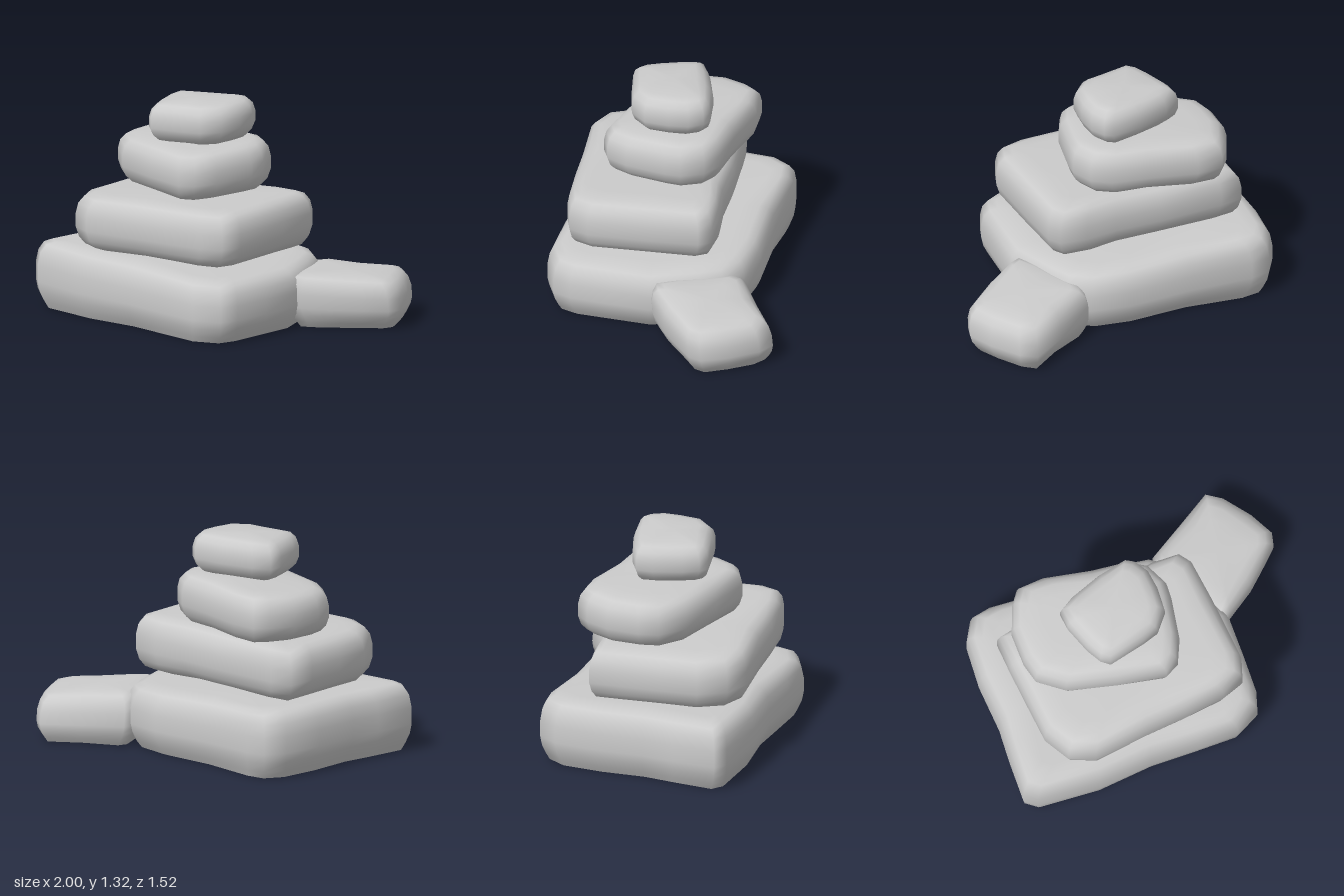
import * as THREE from 'three';

const material = new THREE.MeshStandardMaterial({ color: 0xcccccc, side: THREE.DoubleSide });

// Rounded stone section: [inset from the widest outline, height fraction]
const FLANK = [[0, 0.38], [0, 0.62], [0.015, 0.8], [0.05, 0.92], [0.1, 0.965], [0.19, 0.985]];
const CLOSED = [[0.18, 0.01], [0.11, 0.025], [0.055, 0.08], [0.02, 0.2], ...FLANK];
const OPEN = [[0.065, 0], [0.04, 0.1], [0.012, 0.24], ...FLANK];

// Lofts a stone from a plan outline of [x, z] points.
// bottom and top are sloped planes: [height at the middle, slope along x, slope along z]
// lean shifts the stone along z with height
function stone(name, outline, bottom, top, { open = false, lean = 0 } = {}) {
  const plan = outline.map(([x, z]) => new THREE.Vector3(x, 0, z));
  const mid = new THREE.Box3().setFromPoints(plan).getCenter(new THREE.Vector3());
  const level = (p, x, z) => p[0] + p[1] * (x - mid.x) + p[2] * (z - mid.z);

  const positions = [], index = [];
  const add = (x, z, t) => {
    const low = level(bottom, x, z);
    positions.push(x, low + (level(top, x, z) - low) * t, z + lean * (t - 0.4));
  };
  const profile = open ? OPEN : CLOSED;
  for (const [inset, t] of profile) {
    for (const p of plan) {
      const k = 1 - inset / Math.hypot(p.x - mid.x, p.z - mid.z);
      add(mid.x + (p.x - mid.x) * k, mid.z + (p.z - mid.z) * k, t);
    }
  }
  const sides = plan.length, last = (profile.length - 1) * sides;
  const topCentre = last + sides, bottomCentre = topCentre + 1;
  add(mid.x, mid.z, 1);
  if (!open) add(mid.x, mid.z, 0);

  // Corners are ordered so that every face points outward
  for (let i = 0; i < sides; i++) {
    const j = (i + 1) % sides;
    for (let r = 0; r < last; r += sides) {
      index.push(r + i, r + i + sides, r + j, r + j, r + i + sides, r + j + sides);
    }
    index.push(last + i, topCentre, last + j);
    if (!open) index.push(i, j, bottomCentre);
  }
  const geometry = new THREE.BufferGeometry();
  geometry.setAttribute('position', new THREE.Float32BufferAttribute(positions, 3));
  geometry.setIndex(index);
  geometry.computeVertexNormals();
  const mesh = new THREE.Mesh(geometry, material);
  mesh.name = name;
  return mesh;
}

export function createModel() {
  const group = new THREE.Group();
  group.name = 'stackedStones';

  // Wide hollow stone on the ground
  group.add(stone('baseStone', [
    [-0.97, -0.36], [-0.9, -0.48], [-0.78, -0.505], [-0.4, -0.485], [0, -0.5], [0.24, -0.46],
    [0.37, -0.37], [0.44, -0.24], [0.555, 0.05], [0.55, 0.3], [0.54, 0.54], [0.505, 0.65],
    [0.35, 0.73], [0.1, 0.73], [-0.2, 0.725], [-0.55, 0.755], [-0.93, 0.725], [-1, 0.67],
    [-0.99, 0.4], [-0.975, 0.2], [-0.99, -0.1],
  ], [0.01, 0, 0], [0.41, -0.035, 0], { open: true }));

  // Smaller hollow stone leaning out from the back corner
  group.add(stone('sideStone', [
    [0.71, -0.76], [0.8, -0.7], [0.92, -0.54], [0.995, -0.39], [0.975, -0.31], [0.86, -0.2],
    [0.75, -0.1], [0.57, 0.02], [0.5, 0.045], [0.42, -0.05], [0.33, -0.22], [0.25, -0.42],
    [0.27, -0.49], [0.5, -0.63],
  ], [0.01, 0, 0], [0.33, -0.04, 0.04], { open: true, lean: 0.03 }));

  // Upper stones, each smaller than the one below
  group.add(stone('secondStone', [
    [-0.84, -0.19], [-0.7, -0.22], [-0.3, -0.26], [0, -0.27], [0.2, -0.3], [0.37, -0.29],
    [0.42, -0.22], [0.45, 0.05], [0.48, 0.45], [0.44, 0.57], [0.3, 0.62], [0.05, 0.65],
    [-0.2, 0.67], [-0.55, 0.705], [-0.7, 0.64], [-0.79, 0.48], [-0.81, 0.25], [-0.83, 0],
  ], [0.42, 0.025, 0], [0.77, 0.035, 0]));

  group.add(stone('thirdStone', [
    [-0.78, -0.1], [-0.72, -0.25], [-0.66, -0.33], [-0.5, -0.34], [-0.2, -0.28], [0.02, -0.25],
    [0.13, -0.18], [0.19, -0.05], [0.185, 0.05], [0.14, 0.3], [0.08, 0.43], [-0.01, 0.475],
    [-0.3, 0.42], [-0.6, 0.34], [-0.75, 0.22], [-0.78, 0.1],
  ], [0.76, 0.01, -0.01], [1.07, 0.03, -0.035]));

  group.add(stone('topStone', [
    [-0.5, -0.02], [-0.4, -0.08], [-0.2, -0.15], [-0.02, -0.18], [0.03, -0.15], [0.08, -0.07],
    [0.095, 0.05], [0.085, 0.2], [0, 0.3], [-0.1, 0.33], [-0.33, 0.38], [-0.38, 0.34],
    [-0.43, 0.25], [-0.49, 0.08],
  ], [1.065, 0.02, -0.01], [1.325, 0.035, -0.02]));

  return group;
}
